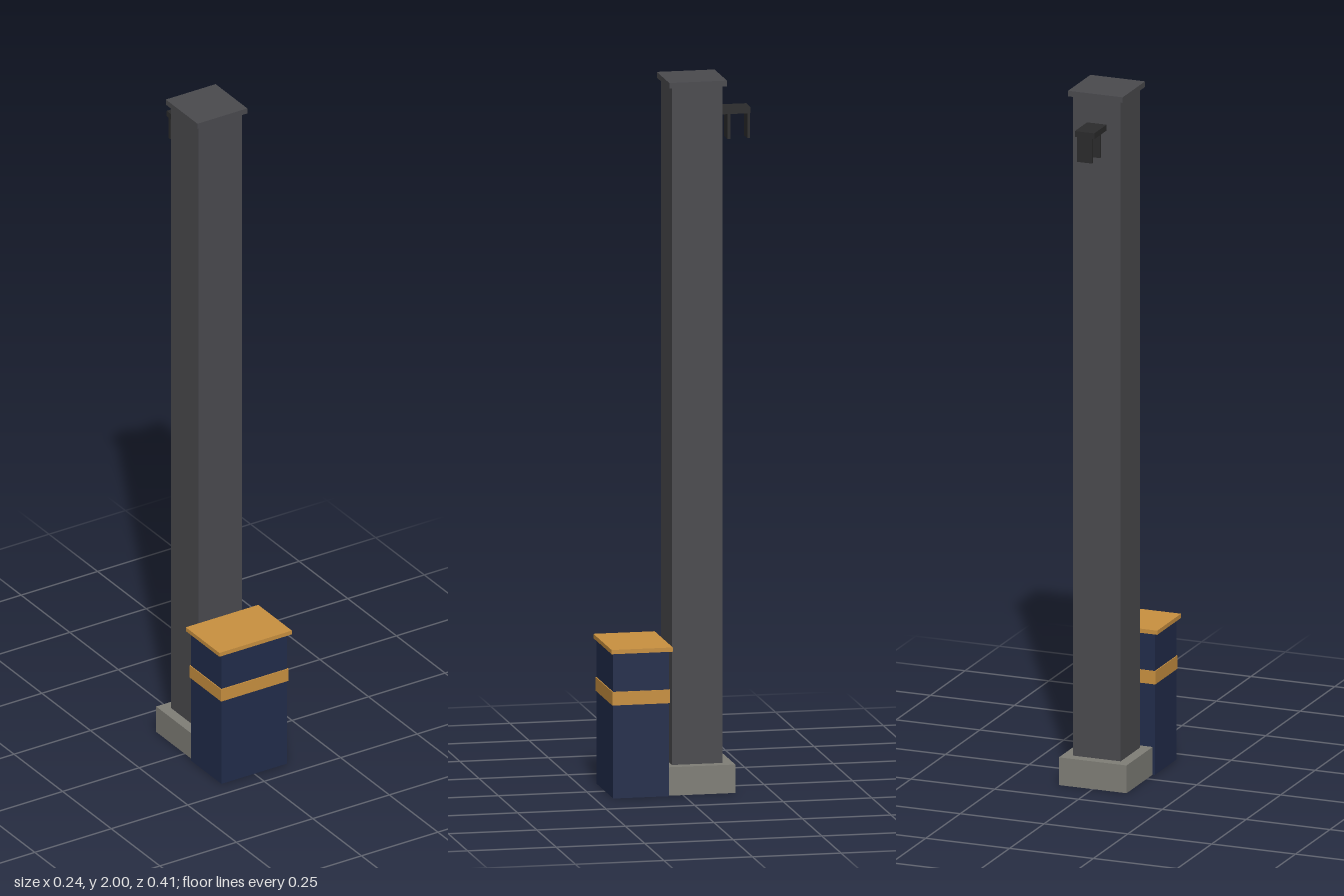
import * as THREE from 'three';

const material = (name, color) => {
  const m = new THREE.MeshStandardMaterial({ color });
  m.name = name;
  return m;
};

export function createModel() {
  const model = new THREE.Group();
  model.name = 'columnWithCabinet';

  const steel = material('darkGreySteel', 0x4a4a4e);
  const concrete = material('concreteGrey', 0x7f7e77);
  const navy = material('navyBlue', 0x212c4b);
  const amber = material('amber', 0xc89040);
  const black = material('nearBlack', 0x2b2b2c);

  // Box centred on x, given by its width, height range and depth range
  const addBox = (parent, name, mat, width, [y0, y1], [z0, z1]) => {
    const mesh = new THREE.Mesh(new THREE.BoxGeometry(width, y1 - y0, z1 - z0), mat);
    mesh.name = name;
    mesh.position.set(0, (y0 + y1) / 2, (z0 + z1) / 2);
    parent.add(mesh);
  };
  const addGroup = (name) => {
    const group = new THREE.Group();
    group.name = name;
    model.add(group);
    return group;
  };

  // Square column on a concrete plinth, closed by a thin cap
  const column = addGroup('column');
  addBox(column, 'plinth', concrete, 0.202, [0, 0.08], [-0.147, 0.054]);
  addBox(column, 'shaft', steel, 0.142, [0.08, 1.984], [-0.117, 0.025]);
  addBox(column, 'cap', steel, 0.163, [1.984, 2], [-0.128, 0.035]);

  // Cabinet in front, with a painted band and an overhanging lid
  const cabinet = addGroup('cabinet');
  addBox(cabinet, 'cabinetBody', navy, 0.215, [0, 0.408], [0.042, 0.199]);
  addBox(cabinet, 'cabinetBand', amber, 0.22, [0.262, 0.3], [0.039, 0.202]);
  addBox(cabinet, 'cabinetLid', amber, 0.237, [0.408, 0.42], [0.033, 0.206]);

  // Bracket at the back with two hanging plates
  const bracket = addGroup('bracket');
  addBox(bracket, 'bracketArm', black, 0.058, [1.895, 1.912], [-0.206, -0.117]);
  for (const z of [-0.146, -0.202]) {
    addBox(bracket, 'hangingPlate', black, 0.045, [1.824, 1.895], [z - 0.004, z + 0.004]);
  }

  return model;
}
